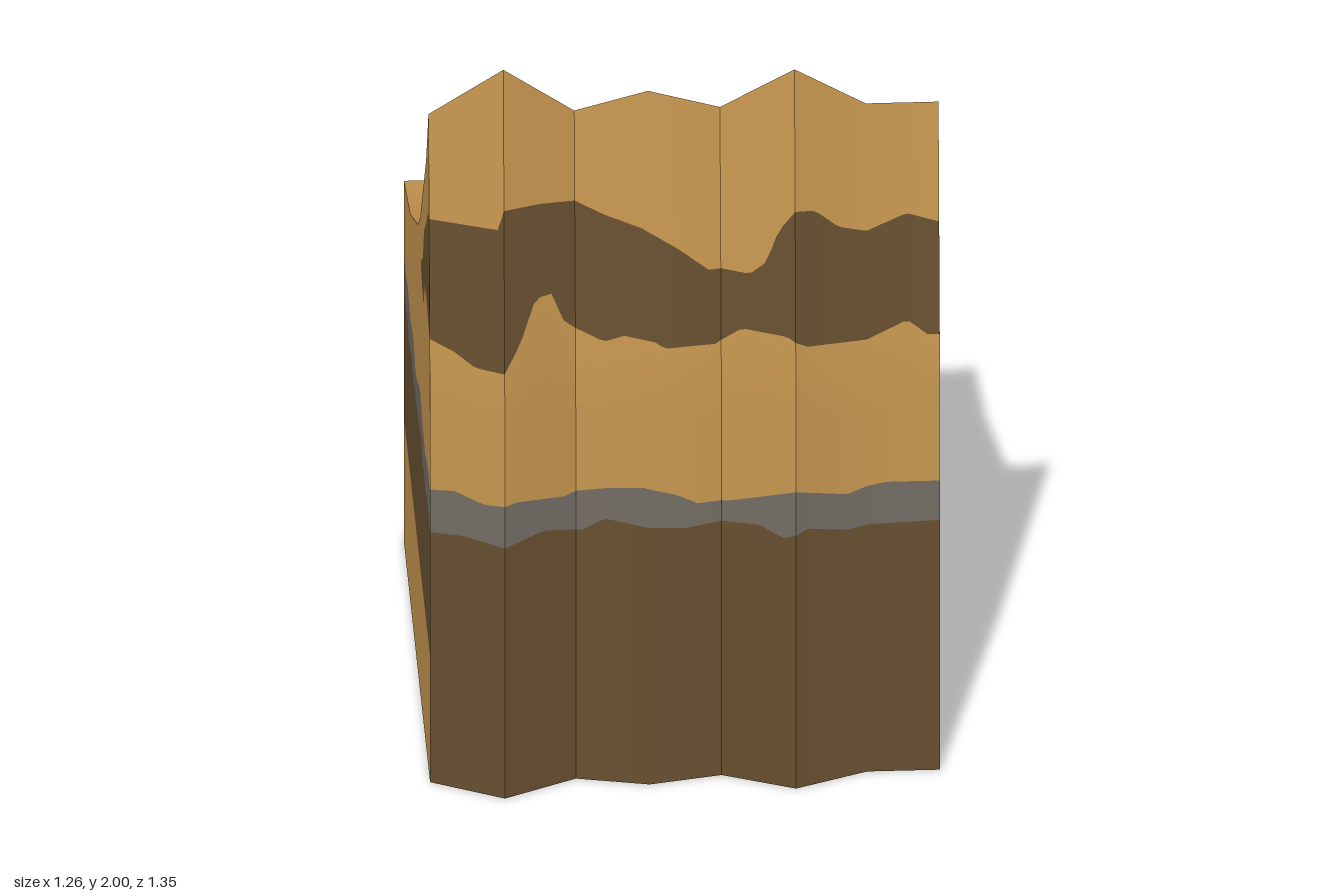
import * as THREE from 'three';

const HALF = 0.63, BACK = -0.675, STEP = 0.18, LEAN_START = 1.0, LEAN = 0.077, FRONT = 0.58;

const mat = (name, color) => {
  const m = new THREE.MeshStandardMaterial({ color, side: THREE.DoubleSide });
  m.name = name;
  return m;
};

// Piecewise linear lookup through sorted [position, value] points
function lookup(pts, t) {
  let i = 0;
  while (i < pts.length - 2 && t > pts[i + 1][0]) i++;
  const [a, va] = pts[i], [b, vb] = pts[i + 1];
  return va + (vb - va) * (t - a) / (b - a);
}

// Slope of the top, as [z, y]
const slope = [[BACK, 1.01], [-0.37, 1.08], [0, 1.25], [0.11, 1.33], [0.39, 1.64], [0.503, 1.83], [0.598, 2]];

// Folded cliff front: z of each fold at the base
const folds = [0.58, 0.675, 0.58, 0.62, 0.58, 0.66, 0.58, 0.58].map((z, i) => [-HALF + i * STEP, z]);

// Edges of the rock layers across the front, as [x, y]
const greyLow = [[-0.63, 0.7], [-0.55, 0.71], [-0.45, 0.7], [-0.35, 0.72], [-0.26, 0.695], [-0.2, 0.735],
  [-0.1, 0.72], [0, 0.705], [0.18, 0.72], [0.24, 0.695], [0.3, 0.72], [0.4, 0.69], [0.63, 0.7]];
const greyHigh = [[-0.63, 0.82], [-0.57, 0.83], [-0.5, 0.81], [-0.42, 0.82], [-0.3, 0.8], [-0.2, 0.82], [-0.1, 0.83],
  [-0.02, 0.8], [0.03, 0.77], [0.1, 0.77], [0.2, 0.805], [0.27, 0.83], [0.4, 0.79], [0.5, 0.81], [0.63, 0.81]];
const seamLow = [[-0.63, 1.23], [-0.57, 1.21], [-0.52, 1.18], [-0.45, 1.18], [-0.41, 1.25], [-0.37, 1.36],
  [-0.33, 1.36], [-0.3, 1.28], [-0.27, 1.25], [-0.2, 1.22], [-0.15, 1.24], [-0.08, 1.23], [-0.05, 1.205],
  [0.08, 1.2], [0.14, 1.25], [0.25, 1.25], [0.3, 1.22], [0.45, 1.2], [0.55, 1.25], [0.6, 1.21], [0.63, 1.21]];
const seamHigh = [[-0.63, 1.55], [-0.465, 1.565], [-0.45, 1.62], [-0.36, 1.61], [-0.27, 1.59], [-0.2, 1.56],
  [-0.1, 1.53], [-0.02, 1.47], [0.06, 1.4], [0.16, 1.4], [0.2, 1.44], [0.23, 1.53], [0.27, 1.59], [0.32, 1.58],
  [0.38, 1.52], [0.45, 1.49], [0.55, 1.535], [0.63, 1.51]];

// Grey layer on the sides, front to back, as [z, y]
const sideGreyLow = [[0.58, 0.7], [0.5, 0.71], [0.4, 0.71], [0.35, 0.69], [0.27, 0.71], [0.2, 0.69], [0.15, 0.74],
  [0.05, 0.715], [-0.05, 0.705], [-0.15, 0.71], [-0.23, 0.69], [-0.3, 0.72], [-0.43, 0.69], [-0.5, 0.72], [BACK, 0.7]];
const sideGreyHigh = [[0.58, 0.81], [0.5, 0.82], [0.4, 0.81], [0.35, 0.79], [0.2, 0.81], [0.12, 0.84], [0.06, 0.83],
  [-0.05, 0.79], [-0.12, 0.775], [-0.2, 0.81], [-0.27, 0.81], [-0.35, 0.79], [-0.5, 0.815], [-0.55, 0.8], [BACK, 0.81]];

// Brown wedges on the sides: lower edge from front to tip, upper edge from tip to front
const leftWedge = {
  low: [[0.561, 1.21], [0.555, 1.16], [0.5, 1.13], [0.45, 1.15], [0.36, 1.13], [0.34, 1.24], [0.3, 1.21],
    [0.23, 1.18], [0.2, 1.14], [0.1, 1.16], [0.08, 1.14], [0.01, 1.14], [-0.04, 1.165]],
  high: [[-0.04, 1.18], [0, 1.19], [0.05, 1.23], [0.1, 1.28], [0.2, 1.39], [0.3, 1.47], [0.35, 1.51],
    [0.42, 1.55], [0.46, 1.54], [0.5, 1.51], [0.533, 1.51]],
};
const rightWedge = {
  low: [[0.559, 1.23], [0.47, 1.245], [0.39, 1.26], [0.32, 1.25], [0.27, 1.17], [0.17, 1.19], [0.14, 1.22]],
  high: [[0.18, 1.25], [0.233, 1.28], [0.293, 1.39], [0.4, 1.47], [0.46, 1.53], [0.53, 1.55]],
};

// Folded front wall, one row of quads per layer, leaning back above LEAN_START
function frontGeometry() {
  const normals = folds.slice(1).map(([, z], i) => new THREE.Vector3(folds[i][1] - z, 0, STEP).normalize());
  const soft = (a, b) => (b && a.angleTo(b) < Math.PI / 6 ? a.clone().add(b).normalize() : a);
  const columns = [];
  normals.forEach((n, f) => {
    const n0 = soft(n, normals[f - 1]), n1 = soft(n, normals[f + 1]);
    const column = (k) => {
      const x = folds[f][0] + STEP * k / 12, base = lookup(folds, x), top = lookup(slope, base - LEAN);
      const ys = [0, lookup(greyLow, x), lookup(greyHigh, x), LEAN_START, lookup(seamLow, x), lookup(seamHigh, x), top];
      const normal = n0.clone().lerp(n1, k / 12);
      return ys.map((y) => {
        const lean = Math.max(0, (y - LEAN_START) / (top - LEAN_START));
        return { p: [x, y, base - LEAN * lean], n: [normal.x, y > LEAN_START ? 0.09 : 0, normal.z] };
      });
    };
    for (let k = 0; k < 12; k++) columns.push([column(k), column(k + 1)]);
  });
  const pos = [], nor = [], geo = new THREE.BufferGeometry();
  [0, 1, 2, 2, 0, 2].forEach((material, r) => {
    geo.addGroup(pos.length / 3, columns.length * 6, material);
    for (const [a, b] of columns) {
      for (const v of [a[r], b[r], b[r + 1], a[r], b[r + 1], a[r + 1]]) { pos.push(...v.p); nor.push(...v.n); }
    }
  });
  geo.setAttribute('position', new THREE.Float32BufferAttribute(pos, 3));
  geo.setAttribute('normal', new THREE.Float32BufferAttribute(nor, 3));
  return geo;
}

// Smooth sloping top, ending at the folded front rim
function topGeometry() {
  const pos = [], index = [], rows = slope.length;
  for (const [x, base] of folds) {
    slope.forEach(([z], r) => {
      const zz = r === rows - 1 ? base - LEAN : z;
      pos.push(x, lookup(slope, zz), zz);
    });
  }
  for (let c = 0; c < folds.length - 1; c++) {
    for (let r = 0; r < rows - 1; r++) {
      const a = c * rows + r, b = a + rows;
      index.push(a, a + 1, b + 1, a, b + 1, b);
    }
  }
  const geo = new THREE.BufferGeometry();
  geo.setAttribute('position', new THREE.Float32BufferAttribute(pos, 3));
  geo.setIndex(index);
  geo.computeVertexNormals();
  return geo;
}

export function createModel() {
  const brown = mat('dark brown rock', 0x674f30);
  const grey = mat('grey rock', 0x726c63);
  const tan = mat('tan rock', 0xc6964f);
  const model = new THREE.Group();
  model.name = 'cliffBlock';

  const add = (name, geo, material, parent = model) => {
    const mesh = new THREE.Mesh(geo, material);
    mesh.name = name;
    parent.add(mesh);
  };
  add('cliffFront', frontGeometry(), [brown, grey, tan]);
  add('slopingTop', topGeometry(), tan);

  // Flat layer from an outline; flip mirrors the outline's first coordinate
  const layer = (parent, name, pts, material, flip) =>
    add(name, new THREE.ShapeGeometry(new THREE.Shape(pts.map(([u, y]) => new THREE.Vector2(u * flip, y)))), material, parent);
  const band = (low, high) => [...low, ...[...high].reverse()];

  // Side walls
  for (const [name, sign, wedge] of [['leftSide', 1, leftWedge], ['rightSide', -1, rightWedge]]) {
    const side = new THREE.Group();
    side.name = name;
    side.position.x = sign * HALF;
    side.rotation.y = sign * Math.PI / 2;
    const flat = (y) => [[FRONT, y], [BACK, y]];
    const put = (part, pts, m) => layer(side, part, pts, m, -sign);
    put('baseLayer', band(flat(0), flat(0.35)), tan);
    put('brownLayer', band(flat(0.35), sideGreyLow), brown);
    put('greyLayer', band(sideGreyLow, sideGreyHigh), grey);
    put('brownWedge', [...wedge.low, ...wedge.high], brown);
    put('upperLayer', [[FRONT, LEAN_START], ...wedge.low, ...wedge.high,
      ...slope.slice(0, -1).reverse(), ...[...sideGreyHigh].reverse()], tan);
    model.add(side);
  }

  // Back wall
  const back = new THREE.Group();
  back.name = 'backWall';
  back.position.z = BACK;
  back.rotation.y = Math.PI;
  const across = (y) => [[-HALF, y], [HALF, y]];
  layer(back, 'brownLayer', band(across(0), greyLow), brown, -1);
  layer(back, 'greyLayer', band(greyLow, greyHigh), grey, -1);
  layer(back, 'upperLayer', band(greyHigh, across(1.01)), tan, -1);
  model.add(back);

  return model;
}
